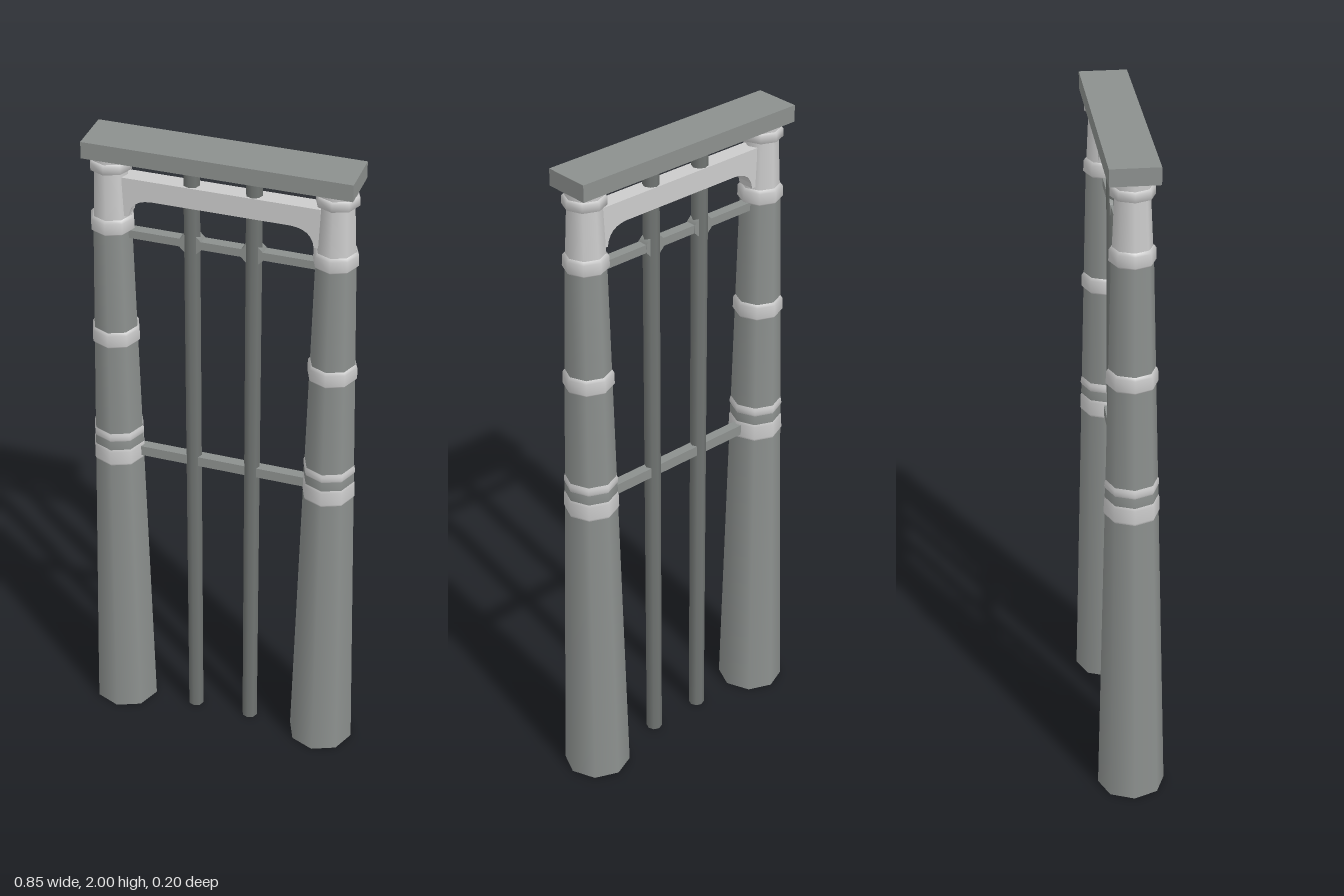
import * as THREE from 'three';

const paint = (color) => new THREE.MeshStandardMaterial({ color, side: THREE.DoubleSide });
const light = paint(0xcccccc);
const stone = paint(0x8c908e);
const iron = paint(0x707472);

function add(parent, name, geometry, material, x = 0, y = 0, z = 0) {
  const mesh = new THREE.Mesh(geometry, material);
  mesh.name = name;
  mesh.position.set(x, y, z);
  parent.add(mesh);
  return mesh;
}

// Eight-sided turned part, with corners on the x and z axes
function turned(points) {
  return new THREE.LatheGeometry(points.map(([r, y]) => new THREE.Vector2(r, y)), 8);
}

const shaftRadius = (y) => 0.1 - 0.0243 * y;

// Band that follows the taper of the shaft, with small bevelled lips
function band(y0, y1, out) {
  const a = shaftRadius(y0), b = shaftRadius(y1);
  return turned([[a, y0 - 0.004], [a + out, y0 + 0.003], [b + out, y1 - 0.005], [b, y1 + 0.004]]);
}

function createColumn(x) {
  const column = new THREE.Group();
  column.name = 'column';
  column.position.x = x;
  add(column, 'shaft', turned([[0.1, 0], [shaftRadius(1.73), 1.73]]), stone);
  add(column, 'lowerBand', band(0.938, 0.986, 0.003), light);
  add(column, 'grooveBand', band(0.99, 1.018, 0.001), stone);
  add(column, 'doubleBand', band(1.022, 1.042, 0.003), light);
  add(column, 'middleBand', band(1.347, 1.39, 0.006), light);
  add(column, 'upperBand', band(1.714, 1.754, 0.007), light);
  add(column, 'neck', turned([[0.056, 1.75], [0.049, 1.902]]), light);
  add(column, 'capitalRing', turned([[0.049, 1.898], [0.062, 1.903], [0.062, 1.926], [0.055, 1.931]]), light);
  add(column, 'capitalTop', turned([[0.055, 1.929], [0.055, 1.952]]), light);
  return column;
}

// Board whose lower edge curves down to meet the columns
function archGeometry(depth) {
  const s = new THREE.Shape();
  s.moveTo(-0.285, 1.885);
  s.lineTo(-0.285, 1.765);
  s.lineTo(-0.268, 1.765);
  s.quadraticCurveTo(-0.262, 1.82, -0.2, 1.822);
  s.lineTo(0.2, 1.822);
  s.quadraticCurveTo(0.262, 1.82, 0.268, 1.765);
  s.lineTo(0.285, 1.765);
  s.lineTo(0.285, 1.885);
  s.closePath();
  return new THREE.ExtrudeGeometry(s, { depth, bevelEnabled: false, curveSegments: 6 })
    .translate(0, 0, -depth / 2);
}

export function createModel() {
  const model = new THREE.Group();
  model.name = 'gateway';

  add(model, 'lintel', new THREE.BoxGeometry(0.77, 0.05, 0.14), stone, 0, 1.975, 0);
  add(model, 'archBoard', archGeometry(0.052), light);
  add(model, 'upperCrossbar', new THREE.BoxGeometry(0.56, 0.025, 0.03), stone, 0, 1.703, 0);
  add(model, 'lowerCrossbar', new THREE.BoxGeometry(0.54, 0.032, 0.03), stone, 0, 0.963, 0);

  for (const side of [-1, 1]) {
    model.add(createColumn(side * 0.325));
    // Upright rod with a small joint where it meets the upper bar
    const rod = new THREE.CylinderGeometry(0.024, 0.024, 1.95, 8);
    add(model, 'rod', rod, iron, side * 0.09, 0.975, 0);
    const joint = new THREE.CylinderGeometry(0.034, 0.034, 0.034, 8).rotateY(Math.PI / 8).rotateX(Math.PI / 2);
    add(model, 'rodJoint', joint, stone, side * 0.09, 1.703, 0);
  }
  return model;
}
